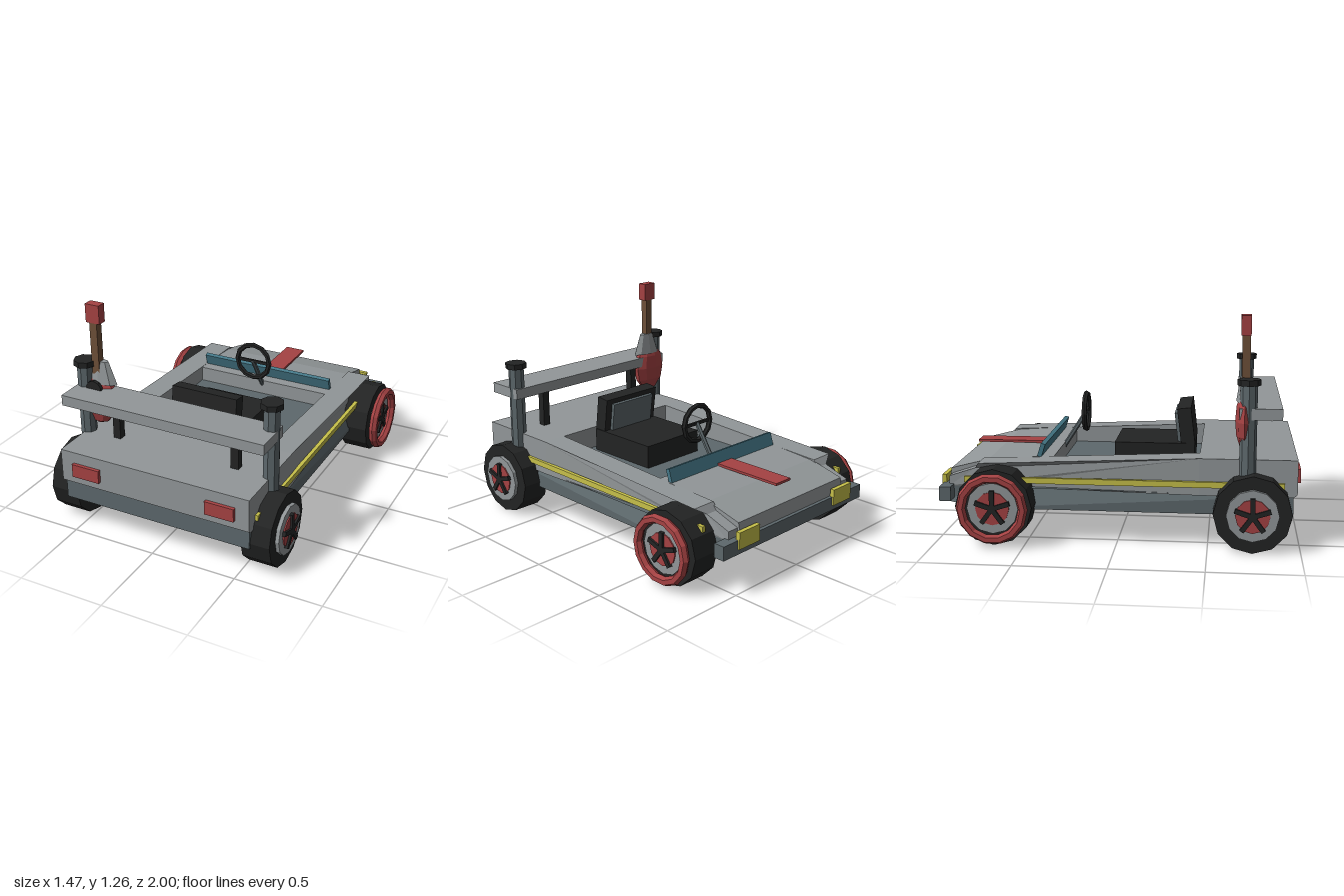
import * as THREE from 'three';

const paint = (name, color) => {
  const m = new THREE.MeshStandardMaterial({ color, flatShading: true });
  m.name = name;
  return m;
};

export function createModel() {
  const light = paint('lightGrey', 0x929799), slate = paint('slateGrey', 0x5d686c);
  const black = paint('black', 0x232424), red = paint('red', 0xa54243);
  const yellow = paint('yellow', 0xc8c14a), blue = paint('blue', 0x457888), brown = paint('brown', 0x6e5039);

  const car = new THREE.Group();
  car.name = 'openBuggy';
  const add = (name, geo, mat, x = 0, y = 0, z = 0, parent = car) => {
    const m = new THREE.Mesh(geo, mat);
    m.name = name;
    m.position.set(x, y, z);
    parent.add(m);
    return m;
  };
  // box given by its limits on each axis
  const box = (name, mat, [x0, x1], [y0, y1], [z0, z1], parent = car) =>
    add(name, new THREE.BoxGeometry(x1 - x0, y1 - y0, z1 - z0), mat,
      (x0 + x1) / 2, (y0 + y1) / 2, (z0 + z1) / 2, parent);
  // side profile of [z, y] points, extruded across x; narrowed ahead of the front wheels
  const profile = (name, mat, points, x0, x1) => {
    const shape = new THREE.Shape(points.map(p => new THREE.Vector2(...p)));
    const geo = new THREE.ExtrudeGeometry(shape, { depth: x1 - x0, bevelEnabled: false });
    geo.rotateY(-Math.PI / 2).translate(x1, 0, 0);
    const p = geo.attributes.position;
    for (let i = 0; i < p.count; i++) {
      if (p.getZ(i) < -0.78) p.setX(i, THREE.MathUtils.clamp(p.getX(i), -0.51, 0.51));
    }
    geo.computeVertexNormals();
    return add(name, geo, mat);
  };
  const pair = (x0, x1, s) => (s > 0 ? [x0, x1] : [-x1, -x0]);

  // Body
  profile('lowerHull', slate, [[0.96, 0.18], [0.96, 0.29], [-0.77, 0.3], [-0.8, 0.3], [-0.96, 0.3],
    [-0.96, 0.2], [-0.8, 0.18], [-0.77, 0.18]], -0.567, 0.567);
  box('floor', slate, [-0.43, 0.43], [0.28, 0.36], [-0.38, 0.46]);
  profile('rearDeck', light, [[0.45, 0.285], [0.96, 0.285], [0.98, 0.3], [0.98, 0.49], [0.45, 0.49]], -0.575, 0.575);
  profile('hood', light, [[-0.37, 0.3], [-0.37, 0.45], [-0.47, 0.45], [-0.74, 0.43], [-0.955, 0.375],
    [-0.97, 0.3]], -0.44, 0.44);
  box('hoodStripe', red, [-0.06, 0.06], [0.448, 0.462], [-0.89, -0.45]);
  box('dashboard', blue, [-0.43, 0.43], [0.44, 0.523], [-0.455, -0.43]).rotation.x = 0.3;
  box('frontBumper', slate, [-0.59, 0.59], [0.22, 0.3], [-0.99, -0.925]);
  for (const s of [1, -1]) {
    profile('sideRail', light, [[0.45, 0.285], [0.45, 0.49], [-0.77, 0.435], [-0.8, 0.395], [-0.95, 0.345],
      [-0.95, 0.29], [-0.8, 0.29]], ...pair(0.43, 0.575, s));
    box('sideStripe', yellow, pair(0.57, 0.592, s), [0.332, 0.364], [-0.845, 0.91]);
    box('headlight', yellow, pair(0.32, 0.48, s), [0.25, 0.345], [-1, -0.975]);
    box('tailLight', red, pair(0.325, 0.495, s), [0.348, 0.425], [0.97, 1]);
  }

  // Seat
  const backrest = new THREE.Group();
  backrest.name = 'seatBackrest';
  backrest.position.set(0, 0.48, 0.375);
  backrest.rotation.x = -0.12;
  car.add(backrest);
  box('seatCushion', black, [-0.21, 0.21], [0.36, 0.495], [-0.05, 0.41]);
  box('backrestShell', black, [-0.205, 0.205], [0, 0.22], [-0.04, 0.04], backrest);
  box('backrestPad', slate, [-0.16, 0.16], [0.02, 0.19], [-0.06, -0.035], backrest);

  // Steering
  add('steeringWheel', new THREE.TorusGeometry(0.107, 0.016, 6, 12), black, 0, 0.637, -0.243);
  box('steeringSpoke', black, [-0.1, 0.1], [0.628, 0.646], [-0.25, -0.237]);
  add('steeringColumn', new THREE.CylinderGeometry(0.014, 0.014, 0.26, 6), slate, 0, 0.53, -0.31).rotation.x = 0.57;

  // Rear posts and crossbar
  box('rearCrossbar', light, [-0.61, 0.61], [0.712, 0.773], [0.66, 0.89]);
  for (const s of [1, -1]) {
    add('rearPost', new THREE.CylinderGeometry(0.046, 0.046, 0.57, 8), slate, s * 0.57, 0.615, 0.71);
    add('postCap', new THREE.CylinderGeometry(0.063, 0.063, 0.032, 8), black, s * 0.57, 0.91, 0.71);
    box('crossbarStrut', black, pair(0.345, 0.39, s), [0.48, 0.72], [0.69, 0.735]);
  }

  // Wheels: axis along x, outer face toward +x, turned about for the other side
  const wheel = (name, s, y, z, ringed) => {
    const g = new THREE.Group();
    g.name = name;
    g.position.set(s * 0.595, y, z);
    if (s < 0) g.rotation.y = Math.PI;
    car.add(g);
    const disc = (part, mat, r, x0, x1) => add(part,
      new THREE.CylinderGeometry(r, r, x1 - x0, 12).rotateZ(Math.PI / 2), mat, (x0 + x1) / 2, 0, 0, g);
    disc('tyre', black, 0.212, -0.085, 0.082);
    disc('rim', light, 0.142, 0.07, 0.103);
    disc('hubDisc', red, 0.093, 0.1, 0.11);
    for (let i = 0; i < 5; i++) {
      const a = i * Math.PI * 2 / 5;
      add('spoke', new THREE.BoxGeometry(0.02, 0.1, 0.026).translate(0, 0.05, 0).rotateX(a), black, 0.112, 0, 0, g);
    }
    if (ringed) add('redRing', new THREE.TorusGeometry(0.172, 0.026, 6, 14).rotateY(Math.PI / 2), red, 0.118, 0, 0, g);
  };
  for (const s of [1, -1]) {
    wheel('rearWheel', s, 0.21, 0.74, false);
    wheel('frontWheel', s, 0.215, -0.665, true);
  }

  // Guitar hung on the rear post
  const ball = (rx, ry, rz) => new THREE.SphereGeometry(1, 9, 6).scale(rx, ry, rz);
  add('guitarBody', ball(0.125, 0.16, 0.05), red, -0.51, 0.695, 0.688);
  add('guitarUpperBody', new THREE.CylinderGeometry(0.055, 0.105, 0.13, 8).scale(1, 1, 0.4), light, -0.485, 0.86, 0.685);
  add('guitarSoundHole', new THREE.CylinderGeometry(0.05, 0.05, 0.02, 10).rotateX(Math.PI / 2), black, -0.495, 0.772, 0.742);
  box('guitarNeck', brown, [-0.52, -0.474], [0.85, 1.16], [0.67, 0.715]);
  box('guitarHead', red, [-0.54, -0.454], [1.153, 1.26], [0.663, 0.717]);

  return car;
}
